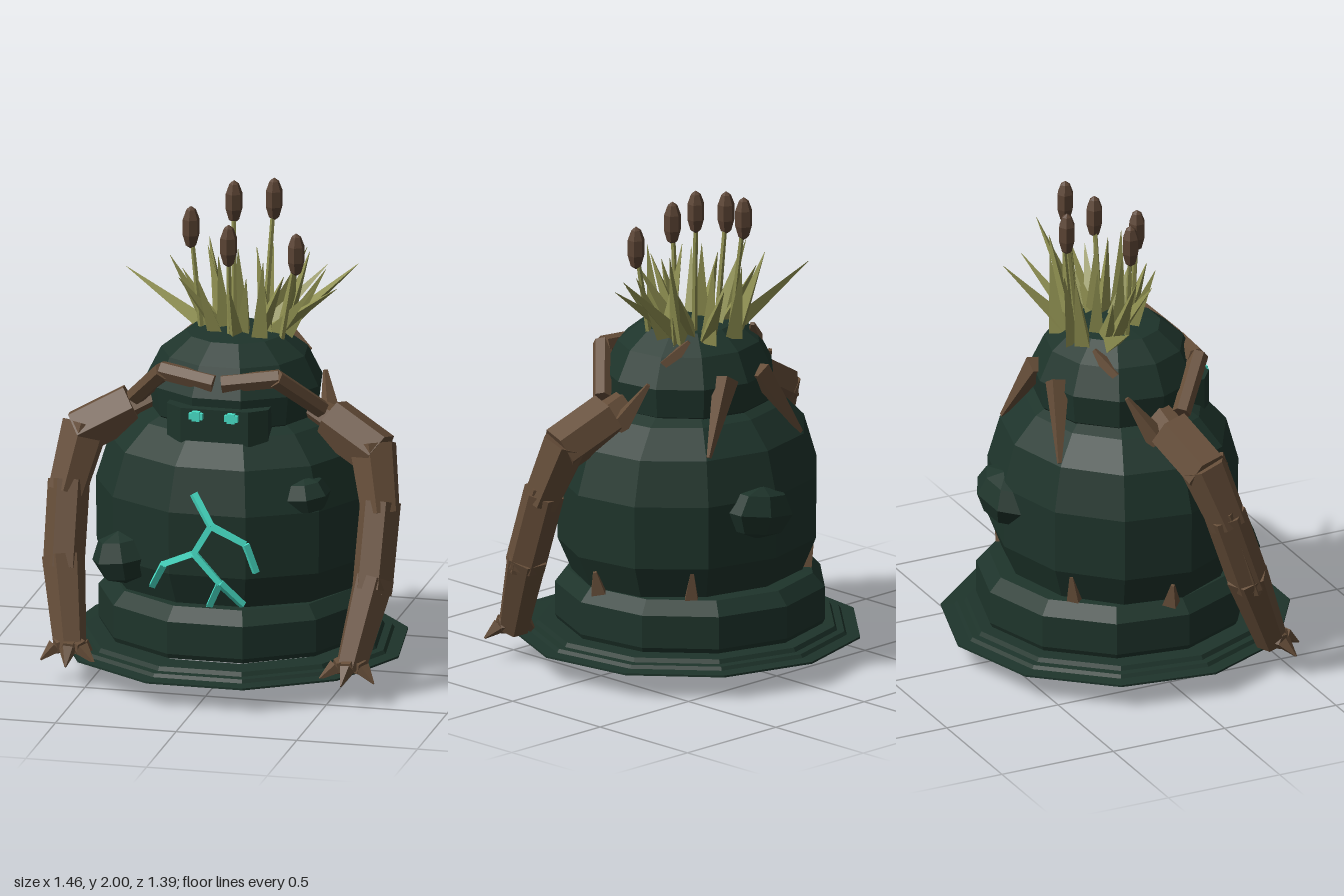
import * as THREE from 'three';

const mat = (name, color) => {
  const m = new THREE.MeshStandardMaterial({ color });
  m.name = name;
  return m;
};
const V = (x, y, z) => new THREE.Vector3(x, y, z);

// Faceted normals for the low-poly look
function flat(g) {
  const n = g.index ? g.toNonIndexed() : g;
  n.computeVertexNormals();
  return n;
}

export function createModel() {
  const moss = mat('darkMoss', 0x1e342b);
  const bark = mat('bark', 0x664e39);
  const cattail = mat('cattailBrown', 0x5a4333);
  const leaf = mat('reedGreen', 0x8e8f50);
  const glow = mat('glowTeal', 0x48e0c8);

  const root = new THREE.Group();
  root.name = 'bogGolem';
  const group = (name) => {
    const g = new THREE.Group();
    g.name = name;
    root.add(g);
    return g;
  };
  const add = (parent, name, geo, material) => {
    const m = new THREE.Mesh(flat(geo), material);
    m.name = name;
    parent.add(m);
    return m;
  };

  // Tapered, faceted stick from a to b
  function stick(parent, name, a, b, ra, rb, sides, material, twist = 0) {
    const d = b.clone().sub(a);
    const m = add(parent, name, new THREE.CylinderGeometry(rb, ra, d.length(), sides).rotateY(twist), material);
    m.position.copy(a).add(b).multiplyScalar(0.5);
    m.quaternion.setFromUnitVectors(V(0, 1, 0), d.normalize());
    return m;
  }
  // Eleven-sided turned shape with a corner at the back
  function turned(name, pts, zScale, z = 0) {
    const geo = new THREE.LatheGeometry(pts.map((p) => new THREE.Vector2(...p)), 11, Math.PI);
    return add(root, name, geo.scale(1, 1, zScale).translate(0, 0, z), moss);
  }

  // Stepped skirt with a shallow underside, then the waist band
  turned('base', [[0, 0.005], [0.38, 0.05], [0.47, 0.1], [0.71, 0.1], [0.71, 0.108], [0.655, 0.112],
    [0.645, 0.126], [0.615, 0.128], [0.605, 0.145], [0.5, 0.147]], 1, 0.008);
  turned('waistBand', [[0.49, 0.14], [0.545, 0.155], [0.555, 0.175], [0.555, 0.31], [0.505, 0.365], [0.4, 0.37]], 0.985, -0.012);
  // Round body and head
  turned('body', [[0.49, 0.34], [0.562, 0.5], [0.566, 0.76], [0.51, 0.94], [0.4, 1.05], [0.3, 1.1], [0.2, 1.11]], 0.88);
  turned('head', [[0.29, 1.02], [0.345, 1.08], [0.36, 1.2], [0.3, 1.32], [0.2, 1.395], [0, 1.415]], 0.93);

  // Chamfered face block
  const faceShape = new THREE.Shape([[-0.21, 0.15], [0.21, 0.15], [0.21, 0.3], [0.14, 0.355], [-0.14, 0.355], [-0.21, 0.3]]
    .map((p) => new THREE.Vector2(...p)));
  const faceGeo = new THREE.ExtrudeGeometry(faceShape, { depth: 0.145, bevelEnabled: false });
  add(root, 'face', faceGeo.rotateX(Math.PI / 2).translate(0, 1.165, 0), moss);

  // Mossy boulders stuck on the body: position, then radii
  const boulders = group('boulders');
  for (const [x, y, z, rx, ry, rz] of [
    [-0.385, 0.515, 0.34, 0.125, 0.11, 0.11],
    [0.37, 0.82, 0.3, 0.1, 0.08, 0.1],
    [0.06, 0.7, -0.465, 0.17, 0.11, 0.105],
  ]) {
    const m = add(boulders, 'boulder', new THREE.SphereGeometry(1, 7, 4).scale(rx, ry, rz), moss);
    m.position.set(x, y, z);
    m.rotation.z = 0.15;
  }

  // Eyes, arms, brows and bark shards, mirrored left and right
  for (const s of [1, -1]) {
    const side = s > 0 ? 'left' : 'right';
    const P = ([x, y, z]) => V(x * s, y, z);

    const eye = group(side + 'Eye');
    add(eye, 'eyeBar', new THREE.BoxGeometry(0.056, 0.026, 0.026).translate(0.073 * s, 1.138, 0.361), glow);
    add(eye, 'eyeCore', new THREE.BoxGeometry(0.032, 0.04, 0.03).translate(0.073 * s, 1.138, 0.361), glow);

    const arm = group(side + 'Arm');
    const joints = [[0.34, 1.1, 0.05], [0.43, 1.055, 0.06], [0.6, 0.965, 0.11], [0.645, 0.75, 0.185],
      [0.64, 0.46, 0.285], [0.585, 0.16, 0.41]].map(P);
    const starts = [0.05, 0.1, 0.1, 0.085, 0.088];
    const ends = [0.07, 0.1, 0.082, 0.084, 0.066];
    for (let i = 0; i < 5; i++) {
      const a = joints[i], b = joints[i + 1];
      const over = b.clone().sub(a).normalize().multiplyScalar(0.025);
      stick(arm, 'armSegment', a.clone().sub(over), b.clone().add(over), starts[i], ends[i], 6, bark, i * 0.5);
    }
    // Long bark plate on the outside of the forearm
    stick(arm, 'barkPlate', P([0.675, 0.8, 0.17]), P([0.665, 0.42, 0.3]), 0.045, 0.055, 5, bark);
    // Clawed hand
    for (const f of [[0.465, 0.105, 0.485], [0.57, 0.1, 0.545], [0.69, 0.1, 0.475], [0.49, 0.1, 0.38]]) {
      const tip = P(f);
      const mid = joints[5].clone().lerp(tip, 0.5).setY(0.15);
      stick(arm, 'finger', joints[5], mid, 0.045, 0.034, 5, bark);
      stick(arm, 'claw', mid, tip, 0.034, 0.004, 5, bark);
    }

    // Brow branch bent around the head
    const brow = group(side + 'Brow');
    stick(brow, 'browInner', P([0.015, 1.255, 0.285]), P([0.245, 1.285, 0.25]), 0.04, 0.04, 6, bark);
    stick(brow, 'browOuter', P([0.23, 1.29, 0.265]), P([0.385, 1.125, 0.11]), 0.04, 0.038, 6, bark);

    // Bark shards: start, end, radius
    const shards = group(side + 'Shards');
    for (const [a, b, r] of [
      [[0.4, 1.03, 0.0], [0.345, 1.22, -0.115], 0.05],
      [[0.25, 1.28, -0.12], [0.18, 1.38, -0.18], 0.045],
      [[0.09, 1.23, -0.3], [0.26, 0.95, -0.375], 0.052],
      [[0.515, 0.36, 0], [0.54, 0.45, -0.005], 0.04],
      [[0.32, 0.35, -0.335], [0.34, 0.48, -0.36], 0.04],
    ]) stick(shards, 'barkShard', P(a), P(b), r, 0.01, 4, bark);
  }

  // Glowing crack standing proud of the front of the body
  const crack = group('glowingCrack');
  const onBody = ([x, y]) => {
    const bulge = y > 0.72 ? (y - 0.72) * 0.3 : y < 0.5 ? (0.5 - y) * 0.4 : 0;
    return V(x, y, 0.494 - bulge - Math.max(0, Math.abs(x) - 0.12) * 0.36);
  };
  for (const path of [
    [[-0.06, 0.84], [0.02, 0.72], [-0.05, 0.6], [0.055, 0.48], [0, 0.365]],
    [[0.02, 0.72], [0.16, 0.65], [0.2, 0.53]],
    [[-0.05, 0.6], [-0.18, 0.54], [-0.24, 0.43]],
    [[0.055, 0.48], [0.14, 0.38]],
  ]) {
    for (let i = 0; i + 1 < path.length; i++) {
      stick(crack, 'crackSegment', onBody(path[i]), onBody(path[i + 1]), 0.018, 0.017, 4, glow, Math.PI / 4);
    }
  }

  // Reed blades fanning out from the crown, listed by tip, rooted in three rings
  const reeds = group('reeds');
  [
    [-0.495, 1.575, -0.18], [-0.28, 1.68, -0.04], [-0.22, 1.62, 0.06], [-0.17, 1.7, -0.26],
    [-0.13, 1.65, 0.12], [-0.15, 1.7, -0.15], [-0.05, 1.66, -0.25], [0.01, 1.62, 0.15],
    [0.08, 1.66, 0.14], [0.14, 1.72, 0.1], [0.2, 1.64, -0.4], [0.32, 1.62, -0.26],
    [0.23, 1.73, -0.12], [0.485, 1.68, -0.11], [0.42, 1.6, 0], [0.36, 1.66, -0.06],
    [0.33, 1.6, 0.03], [0.22, 1.66, 0.08], [0.1, 1.7, -0.24], [0.08, 1.74, -0.04],
    [-0.07, 1.7, 0], [0.27, 1.7, -0.16], [-0.25, 1.6, -0.13],
  ].forEach(([x, y, z], i) => {
    const base = V(x - 0.02, 0, z + 0.06).setLength(0.16 - (i % 3) * 0.04).add(V(0.02, 1.36, -0.06));
    stick(reeds, 'reedBlade', base, V(x, y, z), 0.043, 0.001, 3, leaf, x * 9);
  });

  // Cattails: head centre on a thin stem
  const cattails = group('cattails');
  const headProfile = [[0, -0.09], [0.022, -0.075], [0.035, -0.03], [0.035, 0.035], [0.02, 0.075], [0, 0.09]]
    .map((p) => new THREE.Vector2(...p));
  for (const [x, y, z] of [[-0.188, 1.81, -0.02], [-0.065, 1.86, -0.245], [-0.003, 1.78, 0.1],
    [0.122, 1.91, -0.16], [0.262, 1.745, 0.04]]) {
    stick(cattails, 'stem', V(x * 0.75, 1.36, z * 0.75), V(x, y, z), 0.013, 0.009, 5, leaf);
    add(cattails, 'cattailHead', new THREE.LatheGeometry(headProfile, 6), cattail).position.set(x, y, z);
  }
  return root;
}
